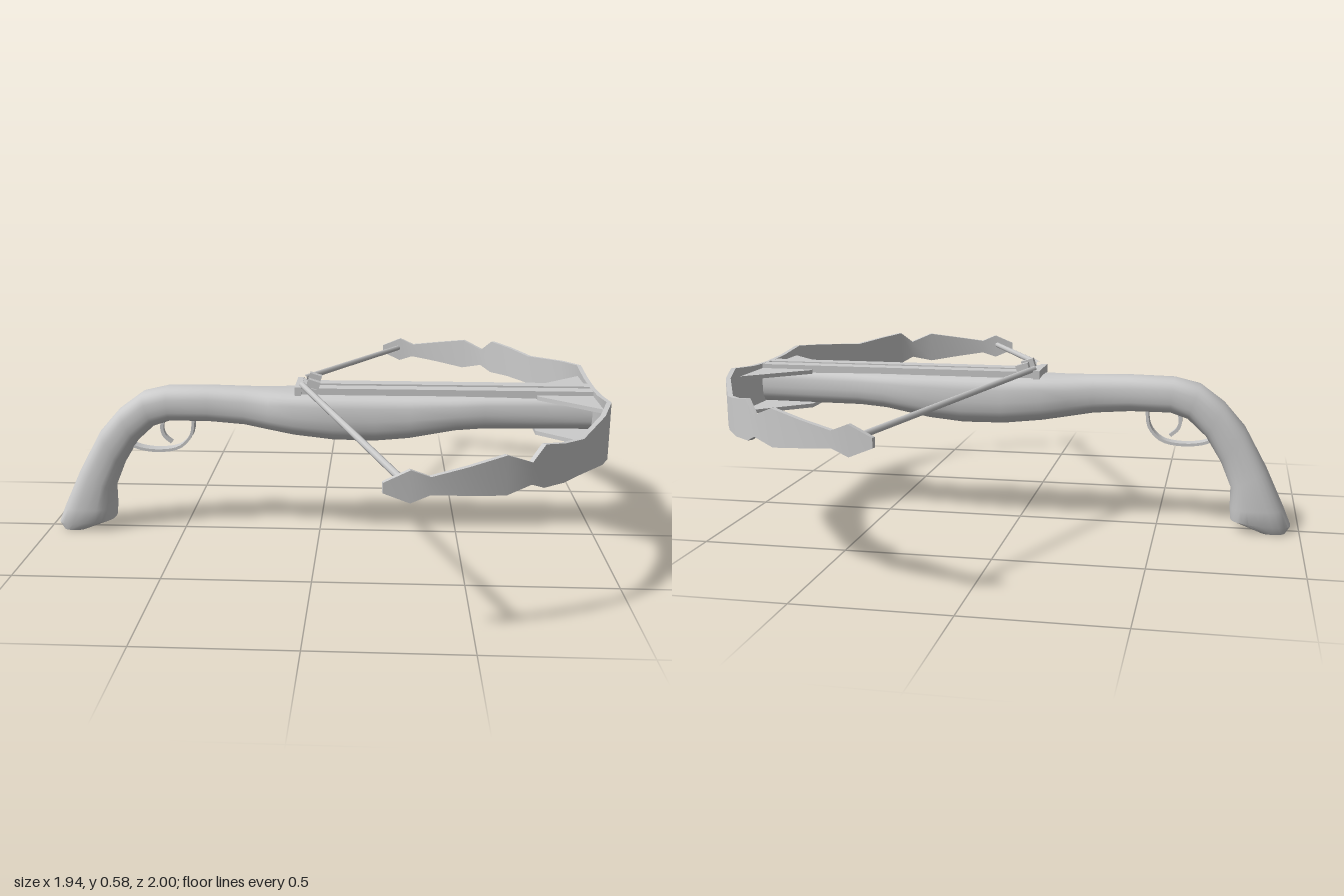
import * as THREE from 'three';
import { toCreasedNormals } from 'three/addons/utils/BufferGeometryUtils.js';

const material = new THREE.MeshStandardMaterial({ color: 0xcccccc });
const V = (x, y, z) => new THREE.Vector3(x, y, z);

// Skin a list of equal-length closed rings and cap both ends.
function loft(rings, crease) {
  const n = rings[0].length, pos = [], idx = [];
  const add = p => pos.push(p.x, p.y, p.z) / 3 - 1;
  rings.forEach(r => r.forEach(add));
  for (let i = 0; i < rings.length - 1; i++) {
    for (let j = 0; j < n; j++) {
      const k = (j + 1) % n;
      const a = i * n + j, b = i * n + k, c = (i + 1) * n + k, d = (i + 1) * n + j;
      idx.push(a, b, c, a, c, d);
    }
  }
  [0, rings.length - 1].forEach((i, end) => {
    const mid = add(rings[i].reduce((s, p) => s.add(p), V(0, 0, 0)).divideScalar(n));
    for (let j = 0; j < n; j++) {
      const a = i * n + j, b = i * n + (j + 1) % n;
      if (end) idx.push(mid, a, b); else idx.push(mid, b, a);
    }
  });
  const g = new THREE.BufferGeometry();
  g.setAttribute('position', new THREE.Float32BufferAttribute(pos, 3));
  g.setIndex(idx);
  return toCreasedNormals(g, crease);
}

// Flat band along a path: u is the width direction, halves the half width at each point.
function band(path, u, halves, thickness) {
  const rings = path.map((p, i) => {
    const t = path[Math.min(i + 1, path.length - 1)].clone().sub(path[Math.max(i - 1, 0)]);
    const v = t.cross(u).normalize().multiplyScalar(thickness / 2);
    return [[1, 1], [-1, 1], [-1, -1], [1, -1]].map(([a, b]) =>
      p.clone().addScaledVector(u, a * halves[i]).addScaledVector(v, b));
  });
  return loft(rings, 0.5);
}

export function createModel() {
  const model = new THREE.Group();
  const add = (name, geometry, x = 0, y = 0, z = 0) => {
    const m = new THREE.Mesh(geometry, material);
    m.name = name;
    m.position.set(x, y, z);
    model.add(m);
    return m;
  };

  // Stock: top x, top y, bottom x, bottom y, half width
  const sections = [
    [-0.955, 0.006, -0.86, 0.006, 0.06],
    [-0.97, 0.03, -0.76, 0.045, 0.076],
    [-0.945, 0.09, -0.757, 0.09, 0.082],
    [-0.88, 0.23, -0.757, 0.16, 0.072],
    [-0.80, 0.375, -0.72, 0.25, 0.07],
    [-0.725, 0.46, -0.665, 0.34, 0.07],
    [-0.64, 0.522, -0.60, 0.40, 0.07],
    [-0.55, 0.543, -0.54, 0.42, 0.07],
    [-0.40, 0.546, -0.40, 0.42, 0.07],
    [-0.27, 0.543, -0.27, 0.41, 0.072],
    [-0.18, 0.54, -0.18, 0.395, 0.095],
    [-0.09, 0.538, -0.09, 0.38, 0.114],
    [0.05, 0.536, 0.05, 0.364, 0.117],
    [0.20, 0.536, 0.20, 0.362, 0.117],
    [0.32, 0.536, 0.32, 0.374, 0.117],
    [0.48, 0.536, 0.48, 0.406, 0.117],
    [0.58, 0.536, 0.58, 0.412, 0.10],
    [0.76, 0.536, 0.76, 0.412, 0.088],
    [0.96, 0.536, 0.96, 0.412, 0.075],
  ];
  const power = (v, n) => Math.sign(v) * Math.pow(Math.abs(v), 2 / n);
  const sides = 24;
  add('stock', loft(sections.map(([tx, ty, bx, by, w]) => {
    const centre = V((tx + bx) / 2, (ty + by) / 2, 0);
    const up = V(tx, ty, 0).sub(centre);
    return Array.from({ length: sides }, (_, j) => {
      const a = j / sides * Math.PI * 2, c = Math.cos(a);
      const n = tx > -0.1 && c > 0 ? 4 : 2.8;
      const p = centre.clone().addScaledVector(up, power(c, n));
      p.z = w * power(Math.sin(a), n);
      return p;
    });
  }), 0.75));

  // Bow limbs: x, z, lower y, upper y for one half, mirrored
  const limb = [
    [0.962, 0, 0.39, 0.555], [0.962, 0.14, 0.387, 0.56], [0.962, 0.295, 0.38, 0.575],
    [0.918, 0.43, 0.402, 0.563], [0.82, 0.625, 0.432, 0.542], [0.75, 0.73, 0.437, 0.557],
    [0.685, 0.79, 0.44, 0.57], [0.645, 0.83, 0.462, 0.528], [0.57, 0.872, 0.442, 0.56],
    [0.46, 0.925, 0.457, 0.54], [0.355, 0.964, 0.47, 0.522], [0.30, 0.978, 0.45, 0.545],
    [0.225, 0.991, 0.482, 0.512],
  ];
  const bow = [...limb.slice(1).reverse().map(([x, z, a, b]) => [x, -z, a, b]), ...limb];
  add('bow', band(bow.map(([x, z, a, b]) => V(x, (a + b) / 2, z)), V(0, 1, 0),
    bow.map(([, , a, b]) => (b - a) / 2), 0.016));

  // Trigger guard and trigger
  const curve = (...pts) => new THREE.CatmullRomCurve3(pts.map(([x, y]) => V(x, y, 0))).getPoints(16);
  const across = V(0, 0, 1);
  add('triggerGuard', band(curve([-0.70, 0.33], [-0.65, 0.312], [-0.58, 0.306], [-0.51, 0.32],
    [-0.467, 0.365], [-0.457, 0.425]), across, Array(17).fill(0.022), 0.01));
  add('trigger', band(curve([-0.565, 0.43], [-0.575, 0.39], [-0.567, 0.36], [-0.54, 0.335]),
    across, Array(17).fill(0.01), 0.012));

  // Catch behind the rails, tilted back
  add('catchBar', new THREE.BoxGeometry(0.022, 0.03, 0.17), -0.073, 0.548, 0);
  add('catchPlate', new THREE.BoxGeometry(0.06, 0.016, 0.15), -0.04, 0.55, 0).rotation.z = -0.15;

  // Mirrored rails, catch lugs, string halves and bow brackets
  for (const s of [1, -1]) {
    const side = s > 0 ? 'left' : 'right';
    add(side + 'Rail', new THREE.BoxGeometry(1.04, 0.03, 0.055), 0.44, 0.541, s * 0.04);
    add(side + 'CatchLug', new THREE.BoxGeometry(0.045, 0.04, 0.028), -0.022, 0.563, s * 0.053)
      .rotation.z = -0.3;

    const path = new THREE.LineCurve3(V(-0.06, 0.566, s * 0.055), V(0.29, 0.503, s * 0.975));
    add(side + 'String', new THREE.TubeGeometry(path, 1, 0.011, 8));

    const shape = new THREE.Shape([[0.76, 0], [0.96, 0], [0.96, 0.265], [0.76, 0.08]]
      .map(([x, z]) => new THREE.Vector2(x, -s * z)));
    const plate = new THREE.ExtrudeGeometry(shape, { depth: 0.014, bevelEnabled: false });
    plate.rotateX(-Math.PI / 2);
    add(side + 'UpperBracket', plate, 0, 0.527, 0);
    add(side + 'LowerBracket', plate, 0, 0.403, 0);
  }
  return model;
}
